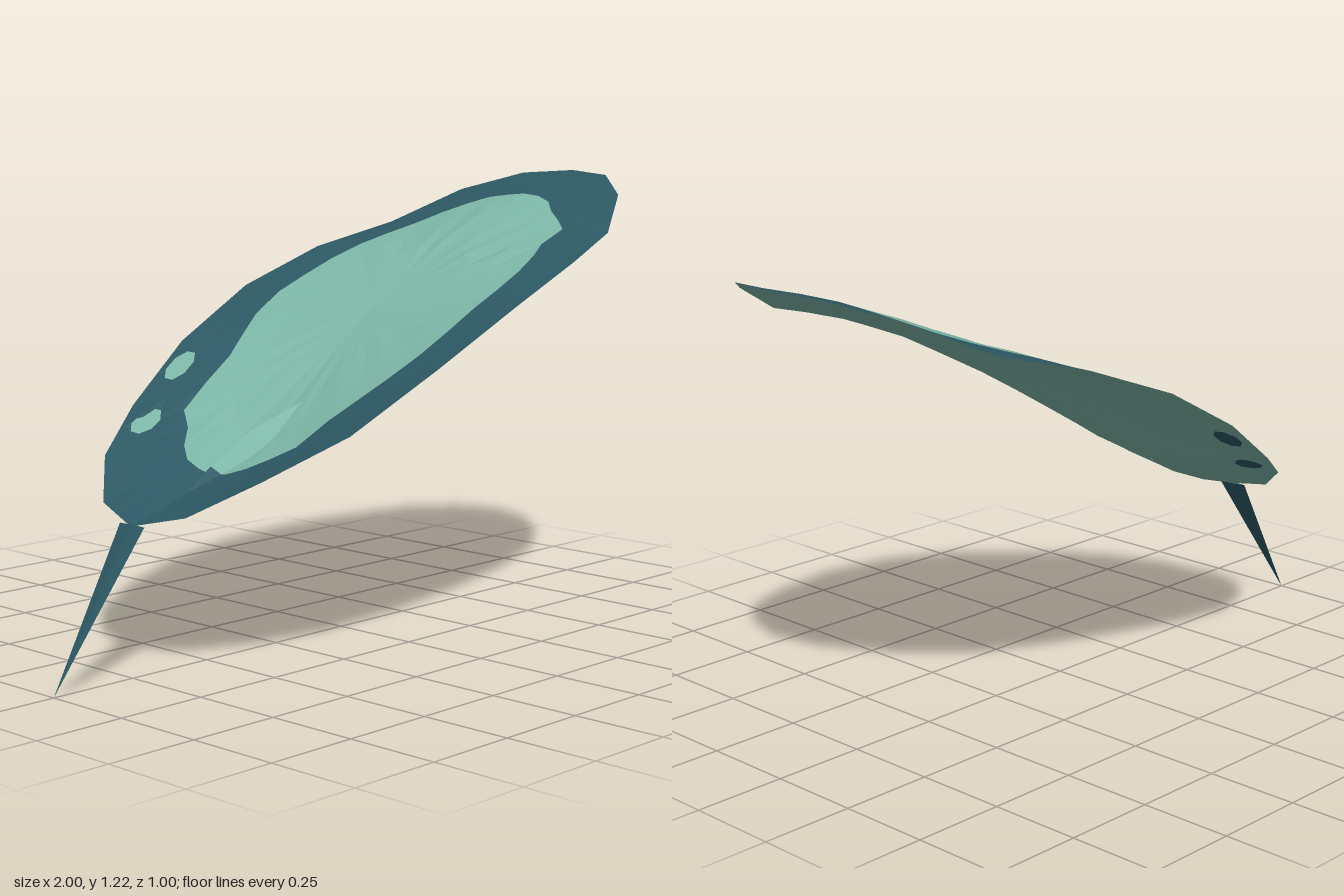
import * as THREE from 'three';

const CX = 0.125, RX = 0.875, RZ = 0.5, SIDES = 20, RAYS = 40;
// Heights of the rim and of the midrib, from the raised end to the tail end
const RIM = [1.22, 1.21, 1.16, 1.065, 1.0, 0.9, 0.762, 0.612, 0.51, 0.42, 0.385];
const MID = [1.22, 1.21, 1.18, 1.11, 1.01, 0.865, 0.685, 0.515, 0.435, 0.395, 0.385];
// Radius of the pale patch on each ray, counted from +x towards the back
const PATCH = [
  0.737, 0.75, 0.76, 0.77, 0.765, 0.755, 0.745, 0.745, 0.738, 0.74,
  0.73, 0.73, 0.68, 0.665, 0.695, 0.75, 0.70, 0.715, 0.705, 0.70,
  0.687, 0.705, 0.705, 0.715, 0.717, 0.685, 0.685, 0.715, 0.718, 0.725,
  0.72, 0.73, 0.73, 0.738, 0.715, 0.785, 0.745, 0.735, 0.74, 0.75,
];
const stationX = (k) => CX + RX * Math.cos(k * Math.PI / 10);
const stationZ = (k) => RZ * Math.sin(k * Math.PI / 10);
const patchRadius = (i) => PATCH[i % RAYS];

// Height of the blade: the midrib blends into the rim along each cross-section
function height(x, z) {
  let k = 0;
  while (k < 9 && x < stationX(k + 1)) k++;
  const t = THREE.MathUtils.clamp((stationX(k) - x) / (stationX(k) - stationX(k + 1)), 0, 1);
  const mix = (a, b) => a + (b - a) * t;
  const half = Math.max(mix(stationZ(k), stationZ(k + 1)), 1e-4);
  const w = Math.pow(Math.min(1, Math.abs(z) / half), 1.2);
  return mix(MID[k], MID[k + 1]) * (1 - w) + mix(RIM[k], RIM[k + 1]) * w;
}

// Point on the twenty-sided outline, scaled by r towards the centre
function bladePoint(i, r, thickness) {
  const corner = (n) => [Math.cos(n * 2 * Math.PI / SIDES), -Math.sin(n * 2 * Math.PI / SIDES)];
  const a = corner(Math.floor(i / 2)), b = corner(Math.ceil(i / 2));
  const x = CX + RX * r * (a[0] + b[0]) / 2;
  const z = RZ * r * (a[1] + b[1]) / 2;
  const ripple = r > 0.3 && r < 0.65 ? 0.002 * Math.sin(i % RAYS * 2.7 + r * 31) : 0;
  return [x, height(x, z) + ripple - thickness * (1 - r), z];
}

// Flat-faceted geometry from a list of triangles
function facets(triangles) {
  const g = new THREE.BufferGeometry();
  g.setAttribute('position', new THREE.Float32BufferAttribute(triangles.flat(2), 3));
  g.computeVertexNormals();
  return g;
}

// Rings of facets between radius functions; a thickness makes the lower skin
function bladeRings(rings, thickness = 0) {
  const tris = [];
  for (let j = 0; j + 1 < rings.length; j++) {
    const point = (i, ring) => bladePoint(i, rings[ring](i), thickness);
    for (let i = 0; i < RAYS; i++) {
      const a = point(i, j), b = point(i, j + 1), c = point(i + 1, j + 1), d = point(i + 1, j);
      tris.push([a, b, c]);
      if (rings[j](i) > 0) tris.push([a, c, d]);
    }
  }
  return facets(thickness ? tris.map(([a, b, c]) => [a, c, b]) : tris);
}

// Small blunt oval lying just off the blade
function spot(x, z, rx, rz, turn, lift) {
  const at = (i) => {
    const a = i * Math.PI / 4 + Math.PI / 8;
    const u = rx * Math.cos(a), v = rz * Math.sin(a);
    const px = x + u * Math.cos(turn) + v * Math.sin(turn);
    const pz = z + u * Math.sin(turn) - v * Math.cos(turn);
    return [px, height(px, pz) + lift, pz];
  };
  const centre = [x, height(x, z) + lift, z];
  const tris = [];
  for (let i = 0; i < 8; i++) {
    tris.push(lift > 0 ? [centre, at(i), at(i + 1)] : [centre, at(i + 1), at(i)]);
  }
  return facets(tris);
}

export function createModel() {
  const model = new THREE.Group();
  const pale = new THREE.MeshStandardMaterial({ color: 0x7bb5a6 });
  pale.name = 'paleGreen';
  const dark = new THREE.MeshStandardMaterial({ color: 0x2c5863 });
  dark.name = 'darkTeal';
  const add = (name, geometry, material) => {
    const mesh = new THREE.Mesh(geometry, material);
    mesh.name = name;
    model.add(mesh);
    return mesh;
  };

  // Blade: pale patch and dark border above, pale underside
  const inner = [0, 0.25, 0.5, 0.75, 1].map((f) => (i) => f * patchRadius(i));
  const outer = [0, 0.5, 1].map((f) => (i) => patchRadius(i) + (1 - patchRadius(i)) * f);
  add('palePatch', bladeRings(inner), pale);
  add('darkBorder', bladeRings(outer), dark);
  add('underside', bladeRings([...inner, ...outer.slice(1)], 0.004), pale);

  // Two spots near one edge, pale above and dark below
  for (const [x, z, turn] of [[-0.422, -0.315, -0.25], [-0.225, -0.397, -0.2]]) {
    add('upperSpot', spot(x, z, 0.057, 0.034, turn, 0.005), pale);
    add('lowerSpot', spot(x, z, 0.057, 0.034, turn, -0.005), dark);
  }

  // Raised fold beside the midrib, dark where it crosses the border
  const on = (x, z, lift) => [x, height(x, z) + lift, z];
  const start = on(-0.57, 0, 0.002), ridge = on(-0.48, 0, 0.025), crest = on(-0.36, 0.02, 0.045);
  const foot = on(-0.48, 0.04, 0.002), front = on(-0.37, 0.09, 0.002);
  const end = on(-0.21, 0.06, 0.002), back = on(-0.36, -0.02, 0.002);
  add('foldTip', facets([[start, foot, ridge], [start, ridge, back]]), dark);
  add('fold', facets([
    [ridge, foot, front], [ridge, front, crest], [crest, front, end],
    [crest, end, back], [ridge, crest, back],
  ]), pale);

  // Tapering stem
  const from = new THREE.Vector3(-0.745, 0.388, 0), tip = new THREE.Vector3(-1, 0, 0);
  const along = tip.clone().sub(from);
  const cone = new THREE.ConeGeometry(1, along.length(), 4).toNonIndexed();
  cone.scale(0.004, 1, 0.046);
  cone.computeVertexNormals();
  const stem = add('stem', cone, dark);
  stem.position.copy(from).add(tip).multiplyScalar(0.5);
  stem.rotation.z = Math.atan2(-along.x, along.y);

  return model;
}
